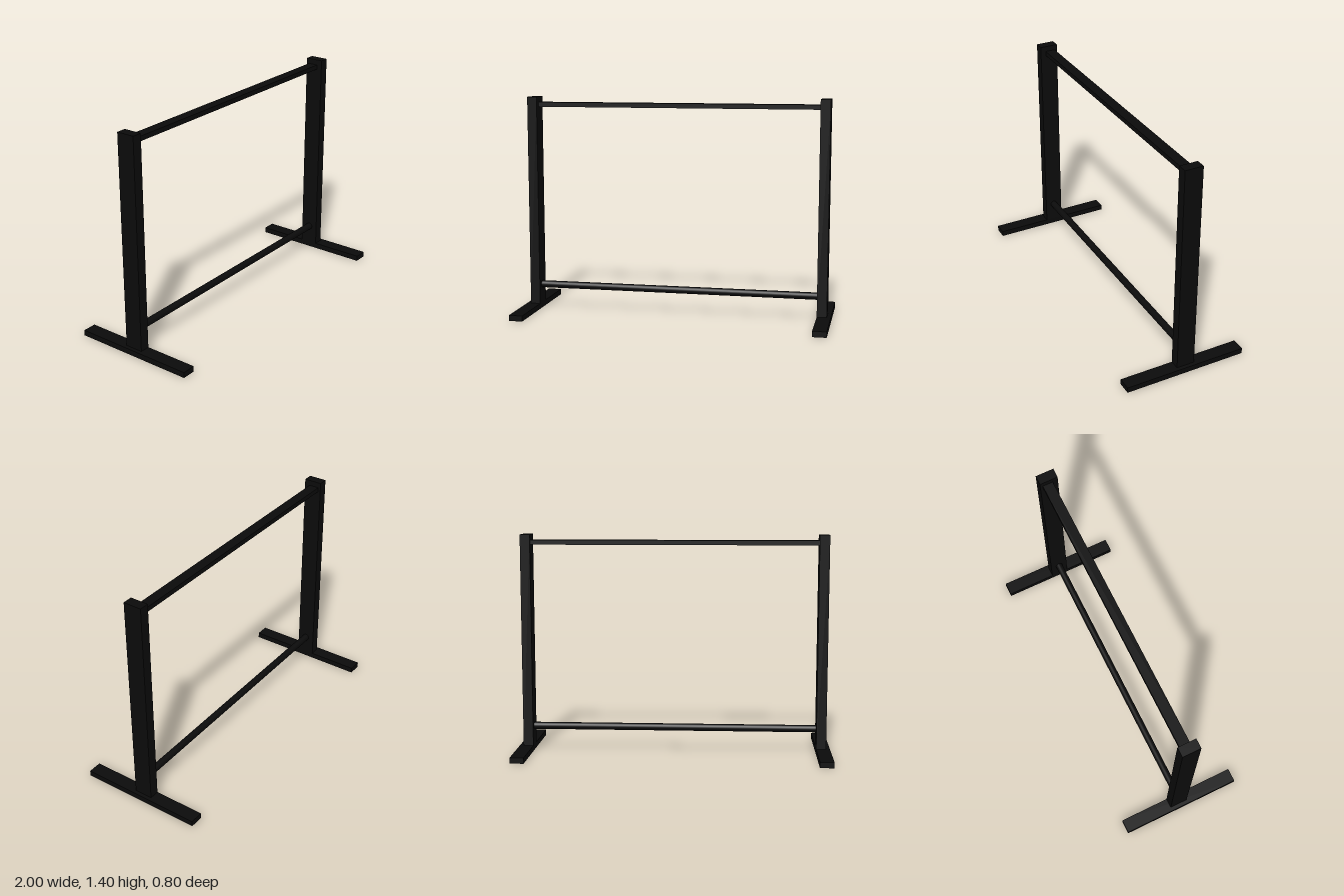
import * as THREE from 'three';

export function createModel() {
  const model = new THREE.Group();
  model.name = 'standFrame';
  const black = new THREE.MeshStandardMaterial({ color: 0x0b0b0b });

  function add(name, geometry, x, y, z) {
    const mesh = new THREE.Mesh(geometry, black);
    mesh.name = name;
    mesh.position.set(x, y, z);
    model.add(mesh);
    return mesh;
  }

  const inner = 0.912; // inside face shared by posts and feet
  const footHeight = 0.036;
  const postHeight = 1.4 - footHeight;
  const postWidth = 0.063;
  const footWidth = 1 - inner;

  // Mirrored feet and upright posts
  for (const [side, s] of [['left', 1], ['right', -1]]) {
    add(side + 'Foot', new THREE.BoxGeometry(footWidth, footHeight, 0.8),
      s * (inner + footWidth / 2), footHeight / 2, 0);
    add(side + 'Post', new THREE.BoxGeometry(postWidth, postHeight, 0.118),
      s * (inner + postWidth / 2), footHeight + postHeight / 2, -0.01);
  }

  // Flat rail between the post tops
  add('topRail', new THREE.BoxGeometry(inner * 2, 0.03, 0.066), 0, 1.35, -0.019);

  // Round rod near the floor
  const rod = add('lowerRod', new THREE.CylinderGeometry(0.023, 0.023, inner * 2, 24), 0, 0.158, -0.01);
  rod.rotation.z = Math.PI / 2;

  return model;
}
